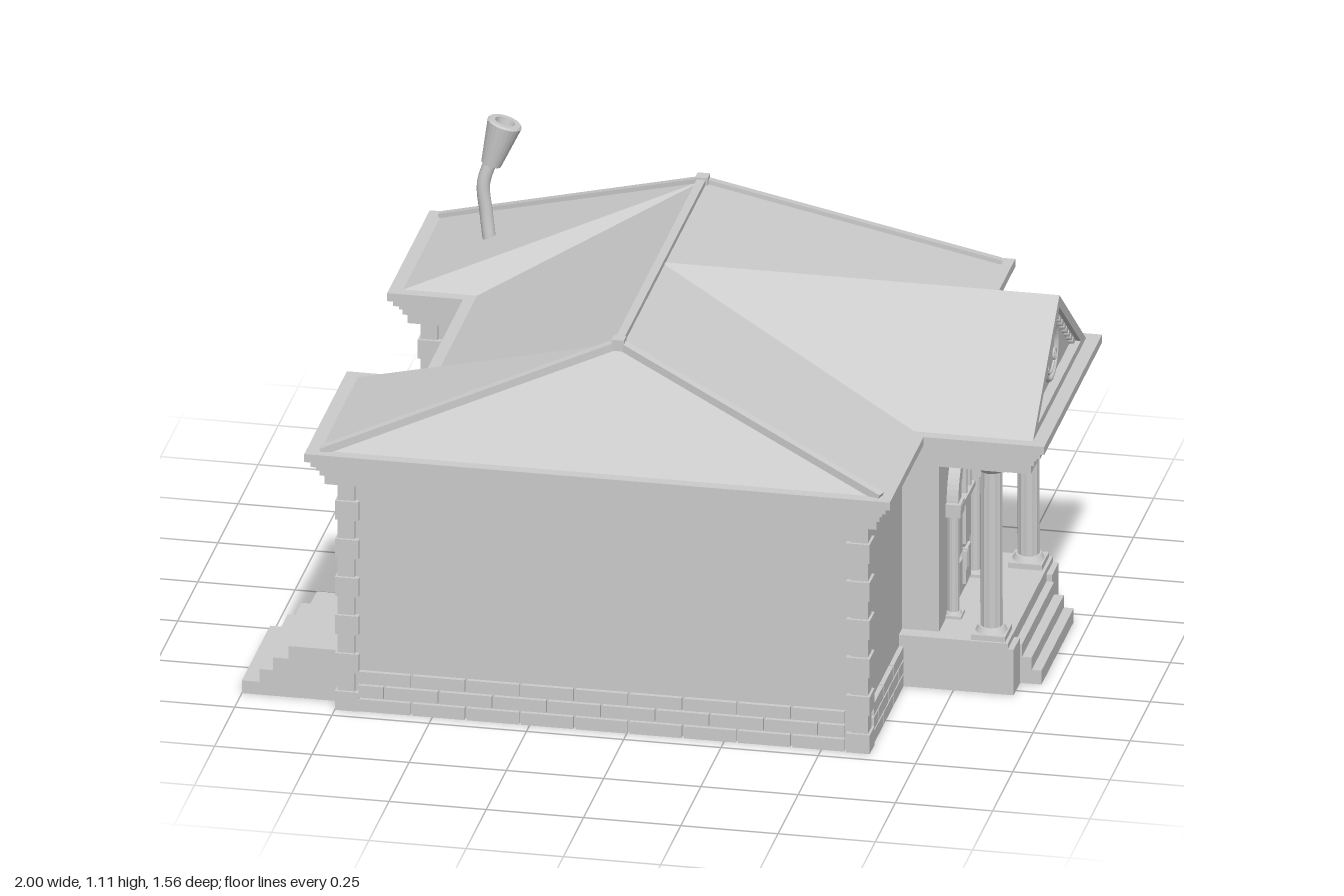
import * as THREE from 'three';

const grey = new THREE.MeshStandardMaterial({ color: 0xcccccc });
const flat = new THREE.MeshStandardMaterial({ color: 0xcccccc, flatShading: true });
const two = new THREE.MeshStandardMaterial({ color: 0xcccccc, flatShading: true, side: THREE.DoubleSide });

function add(parent, name, geometry, material = grey) {
  const mesh = new THREE.Mesh(geometry, material);
  mesh.name = name;
  parent.add(mesh);
  return mesh;
}

function group(parent, name) {
  const g = new THREE.Group();
  g.name = name;
  parent.add(g);
  return g;
}

// Box given by its limits on each axis
function box(parent, name, x0, x1, y0, y1, z0, z1) {
  const m = add(parent, name, new THREE.BoxGeometry(Math.abs(x1 - x0), y1 - y0, Math.abs(z1 - z0)));
  m.position.set((x0 + x1) / 2, (y0 + y1) / 2, (z0 + z1) / 2);
}

// U-shaped floor plan grown by d, with or without the porch
function plan(d, porch) {
  const e = 0.61 + d, w = -0.735 - d, n = -0.54 - d, s = 0.70 + d, i = 0.33 - d, p = 0.28 + d, f = 0.92 + d;
  const bay = porch ? [[e, -p], [f, -p], [f, p], [e, p]] : [];
  return [[w, -s], [e, -s], ...bay, [e, s], [w, s], [w, i], [n, i], [n, -i], [w, -i]]
    .map(([x, z]) => new THREE.Vector2(x, z));
}

function slab(parent, name, points, y0, y1, hole) {
  const shape = new THREE.Shape(points);
  if (hole) shape.holes.push(new THREE.Path(hole));
  const g = new THREE.ExtrudeGeometry(shape, { depth: y1 - y0, bevelEnabled: false });
  g.rotateX(-Math.PI / 2);
  add(parent, name, g).position.y = y0;
}

// Shape drawn in (z, y), extruded towards +x
function facade(parent, name, shape, x0, x1) {
  const g = new THREE.ExtrudeGeometry(shape, { depth: x1 - x0, bevelEnabled: false, curveSegments: 16 });
  g.rotateY(Math.PI / 2);
  add(parent, name, g).position.x = x0;
}

function poly(pts) {
  return new THREE.Shape(pts.map(([a, b]) => new THREE.Vector2(a, b)));
}

// Three rows of running-bond blocks along a wall foot
function bricks(parent, x0, z0, x1, z1) {
  const len = Math.hypot(x1 - x0, z1 - z0), ux = (x1 - x0) / len, uz = (z1 - z0) / len;
  const count = Math.max(1, Math.round(len / 0.14)), step = len / count;
  for (let row = 0; row < 3; row++) {
    for (let k = 0; k <= count; k++) {
      const a = Math.max(0, (k - (row % 2) / 2) * step), b = Math.min(len, (k + 1 - (row % 2) / 2) * step) - 0.006;
      if (b - a < 0.02) continue;
      const m = add(parent, 'footingBlock', new THREE.BoxGeometry(b - a, 0.033, 0.024));
      m.position.set(x0 + ux * (a + b) / 2, 0.0165 + row * 0.038, z0 + uz * (a + b) / 2);
      m.rotation.y = Math.atan2(-uz, ux);
    }
  }
}

// Corner stones of alternating size; (sx, sz) points out of the corner
function quoins(parent, x, z, sx, sz) {
  for (let k = 0; k < 12; k++) {
    const out = k % 2 ? 0.009 : 0.015, into = k % 2 ? 0.035 : 0.046, y = k * 0.0523;
    box(parent, 'cornerStone', x - sx * into, x + sx * out, y, y + 0.0515, z - sz * into, z + sz * out);
  }
}

// Fluted column with ringed base and capital
function column(parent, name, x, z, r, y0, y1) {
  const g = group(parent, name);
  g.position.set(x, 0, z);
  const shaft = new THREE.CylinderGeometry(r * 0.95, r, y1 - y0, 24, 1);
  const p = shaft.attributes.position;
  for (let i = 0; i < p.count; i++) {
    const k = 1 - 0.05 * Math.abs(Math.sin(6 * Math.atan2(p.getX(i), p.getZ(i))));
    p.setX(i, p.getX(i) * k);
    p.setZ(i, p.getZ(i) * k);
  }
  add(g, 'shaft', shaft, flat).position.y = (y0 + y1) / 2;
  const ring = (y, h, a, b) => { add(g, 'ring', new THREE.CylinderGeometry(a, b, h, 32)).position.y = y; };
  ring(y0 + r * 0.75, r * 0.5, r * 1.15, r * 1.4);
  ring(y1 - r * 0.85, r * 0.5, r * 1.4, r);
  const w = r * 1.5;
  box(g, 'plinth', -w, w, y0, y0 + r * 0.5, -w, w);
  box(g, 'abacus', -w, w, y1 - r * 0.6, y1, -w, w);
}

// Bar between two points, used for roof edges
function bar(parent, name, a, b, w, h) {
  const m = add(parent, name, new THREE.BoxGeometry(w, h, a.distanceTo(b)));
  m.position.copy(a).lerp(b, 0.5);
  m.lookAt(b);
}

export function createModel() {
  const model = new THREE.Group();
  model.name = 'pavilionHouse';
  const V = (x, y, z) => new THREE.Vector3(x, y, z);

  // Walls over a hollow footing, split by a cross wall with a lower floor on one side
  slab(model, 'walls', plan(0, false), 0.12, 0.64);
  slab(model, 'footing', plan(0, false), 0, 0.12, plan(-0.04, false));
  box(model, 'floor', -0.51, 0.58, 0.06, 0.13, -0.35, 0.67);
  box(model, 'crossWall', -0.51, 0.58, 0, 0.13, -0.37, -0.33);
  const foot = group(model, 'footingBlocks'), corners = group(model, 'cornerStones');
  bricks(foot, -0.69, 0.7, 0.565, 0.7);
  bricks(foot, -0.69, -0.7, 0.565, -0.7);
  bricks(foot, -0.54, -0.33, -0.54, 0.33);
  for (const s of [1, -1]) {
    bricks(foot, 0.61, 0.28 * s, 0.61, 0.655 * s);
    bricks(foot, -0.735, 0.375 * s, -0.735, 0.655 * s);
    bricks(foot, -0.69, 0.33 * s, -0.54, 0.33 * s);
    quoins(corners, 0.61, 0.7 * s, 1, s);
    quoins(corners, -0.735, 0.7 * s, -1, s);
    quoins(corners, -0.735, 0.33 * s, -1, -s);
  }

  // Stepped cornice around house and porch
  [[0.618, 0.635, 0.01], [0.628, 0.655, 0.037], [0.655, 0.672, 0.047], [0.672, 0.685, 0.055], [0.685, 0.703, 0.067], [0.703, 0.725, 0.08]]
    .forEach(([y0, y1, d]) => slab(model, 'cornice', plan(d, true), y0, y1));

  // Hipped roof; every triangle is wound to face up
  const tris = [];
  const tri = (a, b, c) => {
    const up = b.clone().sub(a).cross(c.clone().sub(a)).y > 0;
    for (const v of up ? [a, b, c] : [a, c, b]) tris.push(v.x, v.y, v.z);
  };
  const eave = 0.725, top = 0.985, rx = -0.06;
  const apex = (s) => V(rx, top, 0.52 * s);
  const at = (x, z) => V(x, eave, z);
  tri(apex(1), apex(-1), at(0.66, 0.75));
  tri(apex(-1), at(0.66, 0.75), at(0.66, -0.75));
  tri(apex(1), apex(-1), at(-0.59, 0.28));
  tri(apex(-1), at(-0.59, 0.28), at(-0.59, -0.28));
  const edges = group(model, 'roofEdges');
  for (const s of [1, -1]) {
    tri(apex(s), at(-0.78, 0.75 * s), at(0.66, 0.75 * s));
    tri(apex(s), at(-0.78, 0.75 * s), at(-0.78, 0.28 * s));
    tri(apex(s), at(-0.78, 0.28 * s), at(-0.59, 0.28 * s));
    for (const x of [0.66, -0.78]) bar(edges, 'hipCap', at(x, 0.75 * s), apex(s), 0.022, 0.02);
    box(edges, 'ridgeEnd', rx - 0.016, rx + 0.016, 0.97, 1.0, 0.52 * s - 0.016, 0.52 * s + 0.016);
  }
  bar(edges, 'ridgeCap', apex(-1), apex(1), 0.022, 0.02);
  const roof = new THREE.BufferGeometry();
  roof.setAttribute('position', new THREE.Float32BufferAttribute(tris, 3));
  roof.computeVertexNormals();
  add(model, 'roof', roof, two);

  // Porch gable with raking frame, scalloped trim and ring ornament
  const gable = group(model, 'porchGable');
  facade(gable, 'gableRoof', poly([[-0.33, eave], [0.33, eave], [0, top]]), rx, 0.94);
  const frame = poly([[-0.33, eave], [0.33, eave], [0, top]]);
  frame.holes.push(new THREE.Path([[-0.265, 0.745], [0, 0.952], [0.265, 0.745]].map(([a, b]) => new THREE.Vector2(a, b))));
  facade(gable, 'rakingFrame', frame, 0.935, 0.965);
  for (const s of [1, -1]) {
    for (let k = 0; k < 9; k++) {
      const t = (k + 0.7) / 9.6;
      const m = add(gable, 'scallop', new THREE.CylinderGeometry(0.013, 0.013, 0.015, 12));
      m.rotation.z = Math.PI / 2;
      m.position.set(0.945, 0.745 + 0.205 * t, s * 0.262 * (1 - t));
    }
  }
  const ring = (r, tube, y, z) => {
    const m = add(gable, 'ornamentRing', new THREE.TorusGeometry(r, tube, 6, 32));
    m.rotation.y = Math.PI / 2;
    m.position.set(0.942, y, z);
  };
  ring(0.074, 0.007, 0.83, 0);
  ring(0.058, 0.004, 0.83, 0);
  for (const a of [90, 210, 330]) {
    const r = a * Math.PI / 180;
    ring(0.014, 0.004, 0.83 + 0.054 * Math.sin(r), 0.054 * Math.cos(r));
  }

  // Porch floor, steps and columns
  const porch = group(model, 'porch');
  box(porch, 'vestibule', 0.6, 0.705, 0.1, 0.63, -0.24, 0.24);
  box(porch, 'platform', 0.6, 0.89, 0, 0.14, -0.28, 0.28);
  [[0.96, 0.038], [0.935, 0.072], [0.91, 0.106]].forEach(([x, y]) => box(porch, 'frontStep', 0.87, x, 0, y, -0.2, 0.2));
  for (const s of [1, -1]) {
    box(porch, 'stepCheek', 0.87, 0.905, 0, 0.125, 0.2 * s, 0.28 * s);
    column(porch, 'porchColumn', 0.838, 0.23 * s, 0.029, 0.14, 0.625);
  }

  // Arched double door
  const door = group(model, 'frontDoor');
  door.position.x = 0.01;
  const arch = new THREE.Shape().absarc(0, 0.445, 0.147, 0, Math.PI, false);
  arch.absarc(0, 0.445, 0.115, Math.PI, 0, true);
  facade(door, 'arch', arch, 0.69, 0.725);
  facade(door, 'keystone', poly([[-0.014, 0.55], [0.014, 0.55], [0.02, 0.597], [-0.02, 0.597]]), 0.69, 0.732);
  const fan = new THREE.Shape().absarc(0, 0.445, 0.12, 0, Math.PI, false);
  facade(door, 'fanlight', fan, 0.69, 0.699);
  for (const z of [-0.085, -0.035, 0.035, 0.085]) {
    box(door, 'fanlightBar', 0.69, 0.71, 0.4, 0.445 + Math.sqrt(0.0138 - z * z), z - 0.004, z + 0.004);
  }
  box(door, 'lintel', 0.69, 0.715, 0.39, 0.405, -0.115, 0.115);
  for (const s of [1, -1]) {
    column(door, 'doorColumn', 0.71, 0.133 * s, 0.016, 0.14, 0.45);
    box(door, 'impost', 0.69, 0.733, 0.42, 0.455, 0.105 * s, 0.16 * s);
    box(door, 'doorLeaf', 0.69, 0.702, 0.14, 0.39, 0.002 * s, 0.095 * s);
    box(door, 'upperPanel', 0.69, 0.71, 0.27, 0.38, 0.02 * s, 0.085 * s);
    box(door, 'lowerPanel', 0.69, 0.71, 0.16, 0.25, 0.02 * s, 0.085 * s);
    box(door, 'handle', 0.7, 0.72, 0.215, 0.265, 0.006 * s, 0.013 * s);
  }

  // Rear door and steps
  const rear = group(model, 'rearEntrance');
  [[-1, 0.035], [-0.955, 0.07], [-0.92, 0.105], [-0.88, 0.14]].forEach(([x, y]) => box(rear, 'rearStep', x, -0.73, 0, y, 0.31, 0.66));
  box(rear, 'rearDoor', -0.742, -0.73, 0.14, 0.4, 0.43, 0.55);
  for (const z of [0.42, 0.56]) box(rear, 'doorPost', -0.752, -0.73, 0.14, 0.41, z - 0.01, z + 0.01);
  box(rear, 'doorHead', -0.752, -0.73, 0.4, 0.415, 0.41, 0.57);
  for (const y of [0.16, 0.28]) box(rear, 'doorPanel', -0.75, -0.73, y, y + 0.1, 0.45, 0.53);

  // Bent chimney pipe with flared open top
  const chimney = group(model, 'chimney');
  const path = new THREE.CatmullRomCurve3([V(-0.605, 0.77, -0.51), V(-0.615, 0.85, -0.515), V(-0.622, 0.93, -0.515), V(-0.602, 1.0, -0.52)]);
  add(chimney, 'pipe', new THREE.TubeGeometry(path, 24, 0.017, 16));
  const horn = [[0, 0], [0.026, 0], [0.045, 0.115], [0.041, 0.12], [0.026, 0.12], [0.02, 0.06], [0, 0.06]].map(([r, y]) => new THREE.Vector2(r, y));
  const flare = add(chimney, 'flare', new THREE.LatheGeometry(horn, 24), two);
  flare.position.set(-0.603, 0.985, -0.518);
  flare.rotation.set(-0.08, 0, -0.29);

  return model;
}
